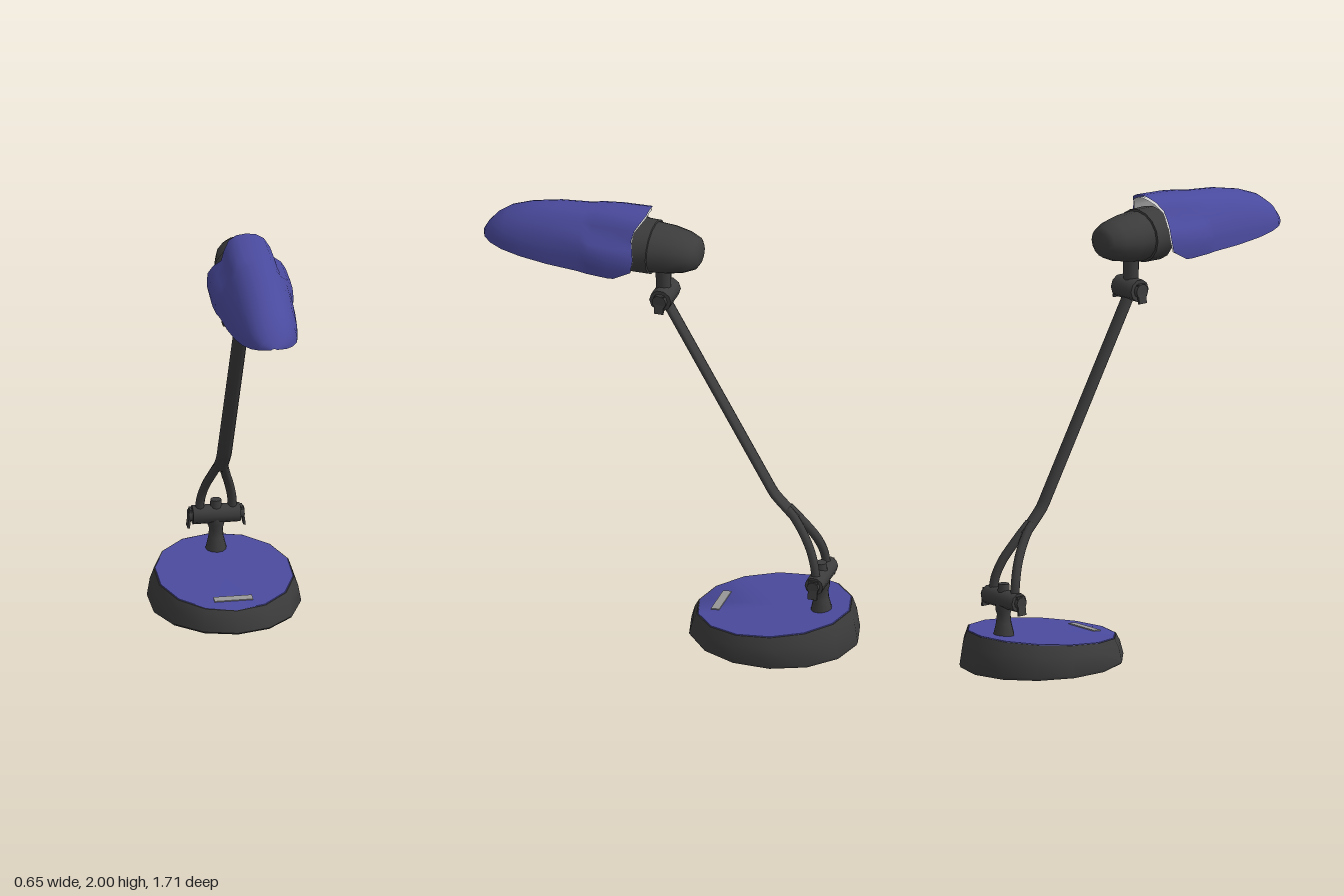
import * as THREE from 'three';
import { toCreasedNormals } from 'three/addons/utils/BufferGeometryUtils.js';

const mat = (color, side = THREE.FrontSide) =>
  new THREE.MeshStandardMaterial({ color, side });
const V = (x, y, z) => new THREE.Vector3(x, y, z);
const pts = (list) => list.map(([x, y]) => new THREE.Vector2(x, y));

export function createModel() {
  const group = new THREE.Group();
  const dark = mat(0x3c3c3c), blue = mat(0x4a4a9e), plate = mat(0x999999);
  const blueShell = mat(0x4a4a9e, THREE.DoubleSide);
  const pale = mat(0xcccccc, THREE.DoubleSide);

  const add = (name, geo, material, x = 0, y = 0, z = 0, parent = group) => {
    const m = new THREE.Mesh(geo, material);
    m.name = name;
    m.position.set(x, y, z);
    parent.add(m);
    return m;
  };

  // Base: oval lathe whose heights are fractions of a sloping top plane
  const slope = 0.065 / 0.69, baseZ = -0.475;
  const topY = (z) => 0.1 + (-0.13 - z) * slope;
  const ovalLathe = (profile) => {
    const g = new THREE.LatheGeometry(pts(profile), 14);
    const p = g.attributes.position;
    for (let i = 0; i < p.count; i++) {
      const z = p.getZ(i) * 1.14 + baseZ;
      p.setXYZ(i, p.getX(i), p.getY(i) * topY(z), z);
    }
    return toCreasedNormals(g, 0.7);
  };
  add('base', ovalLathe([[0, 0], [0.33, 0], [0.335, 0.08], [0.322, 0.65], [0.305, 1], [0, 1]]), dark);
  add('basePanel', ovalLathe([[0.302, 0.99], [0.299, 1.02], [0, 1.02]]), blue);
  const label = add('basePlate', new THREE.BoxGeometry(0.17, 0.006, 0.038), plate, 0, topY(-0.23) + 0.004, -0.23);
  label.rotation.x = Math.atan(slope);

  // Post rising from the base
  const post = new THREE.LatheGeometry(
    pts([[0.048, 0.13], [0.046, 0.16], [0.034, 0.21], [0.03, 0.25], [0.037, 0.27], [0.037, 0.31]]), 12);
  add('post', toCreasedNormals(post, 0.7), dark, 0, 0, -0.69);

  // Clamp: cross barrel, centre nub and a wing on each end
  const clamp = (name, y, z, half, radius) => {
    const g = new THREE.Group();
    g.name = name;
    g.position.set(0, y, z);
    group.add(g);
    const barrel = new THREE.CylinderGeometry(radius, radius, half * 2, 10).rotateZ(Math.PI / 2);
    add('barrel', toCreasedNormals(barrel, 0.7), dark, 0, 0, 0, g);
    add('nub', new THREE.CylinderGeometry(0.024, 0.028, 0.05, 10), dark, 0, radius, 0, g);
    for (const s of [-1, 1]) {
      add('knob', new THREE.CylinderGeometry(radius * 0.65, radius * 0.65, 0.02, 10).rotateZ(Math.PI / 2),
        dark, s * (half + 0.008), 0, 0, g);
      const wing = add('wing', new THREE.BoxGeometry(0.01, 0.085, 0.042), dark, s * (half + 0.013), -0.012, 0, g);
      wing.rotation.z = s * 0.13;
    }
  };
  clamp('lowerClamp', 0.318, -0.69, 0.105, 0.042);
  clamp('upperClamp', 1.595, 0.028, 0.068, 0.05);

  // Fork: two curved legs joining below the arm
  for (const s of [-1, 1]) {
    const path = new THREE.CatmullRomCurve3([
      V(s * 0.074, 0.33, -0.69), V(s * 0.068, 0.4, -0.68), V(s * 0.052, 0.47, -0.655),
      V(s * 0.03, 0.54, -0.612), V(s * 0.014, 0.6, -0.565), V(s * 0.01, 0.63, -0.535)]);
    add('forkLeg', new THREE.TubeGeometry(path, 16, 0.02, 8), dark);
  }

  // Arm: flattened tube with a bend near the fork
  const armPath = new THREE.CurvePath();
  const bend = [V(0, 0.585, -0.575), V(0, 0.68, -0.482), V(0, 0.72, -0.456), V(0, 1.56, 0.02)];
  armPath.add(new THREE.LineCurve3(bend[0], bend[1]));
  armPath.add(new THREE.QuadraticBezierCurve3(bend[1], V(0, 0.697, -0.468), bend[2]));
  armPath.add(new THREE.LineCurve3(bend[2], bend[3]));
  add('arm', new THREE.TubeGeometry(armPath, 40, 0.018, 10).scale(1.85, 1, 1), dark);

  // Neck and lamp housing
  add('neck', new THREE.CylinderGeometry(0.036, 0.033, 0.12, 12), dark, 0, 1.675, 0.035);
  const housing = new THREE.LatheGeometry(pts([[0, -0.138], [0.045, -0.137], [0.068, -0.122],
    [0.09, -0.07], [0.104, 0], [0.109, 0.072], [0.117, 0.074], [0.118, 0.16], [0.1, 0.165], [0, 0.165]]), 16);
  housing.rotateX(Math.PI / 2).scale(1.17, 1, 1);
  add('housing', toCreasedNormals(housing, 0.7), dark, 0, 1.822, 0);

  // Shade: lofted from a three-lobed rear section into a plain arch
  const lobed = [[0, 1], [0.24, 0.98], [0.44, 0.92], [0.58, 0.79], [0.66, 0.63],
    [0.85, 0.52], [0.98, 0.38], [1, 0.17], [0.96, 0]];
  const rearZ = [0, 0, 0.012, 0.035, 0.045, 0.03, 0.02, 0.03, 0.11];
  // z, half width, rim height, top height, lobe amount
  const stations = [
    [0.1, 0.176, 1.727, 2.0, 1], [0.24, 0.176, 1.725, 1.995, 1], [0.33, 0.174, 1.73, 1.985, 0.8],
    [0.38, 0.161, 1.732, 1.977, 0.15], [0.52, 0.152, 1.737, 1.965, 0], [0.65, 0.138, 1.746, 1.938, 0],
    [0.74, 0.12, 1.756, 1.905, 0], [0.8, 0.093, 1.764, 1.862, 0], [0.838, 0.058, 1.771, 1.815, 0],
    [0.856, 0.012, 1.777, 1.782, 0]];
  const n = lobed.length - 1, cols = 2 * n + 1;
  const shell = (inset, flip) => {
    const pos = [], index = [];
    stations.forEach(([z, w, rim, top, k], i) => {
      for (let j = -n; j <= n; j++) {
        const a = Math.abs(j), t = (a / n) * Math.PI / 2;
        const u = THREE.MathUtils.lerp(Math.sin(t), lobed[a][0], k);
        const v = THREE.MathUtils.lerp(Math.pow(Math.cos(t) + 1e-9, 0.9), lobed[a][1], k);
        const shrink = 1 - inset * Math.min(1, v * 4);
        pos.push(Math.sign(j) * u * w * shrink, rim + v * (top - rim) * shrink, z + (i ? 0 : rearZ[a]));
      }
    });
    for (let i = 0; i < stations.length - 1; i++) {
      for (let j = 0; j < cols - 1; j++) {
        const a = i * cols + j, b = a + 1, c = a + cols, d = c + 1;
        index.push(...(flip ? [a, b, c, b, d, c] : [a, c, b, b, c, d]));
      }
    }
    const g = new THREE.BufferGeometry();
    g.setAttribute('position', new THREE.Float32BufferAttribute(pos, 3));
    g.setIndex(index);
    g.computeVertexNormals();
    return g;
  };
  add('shade', shell(0, false), blueShell);
  add('shadeLining', shell(0.05, true), pale);

  // Bulb: twin tubes with rounded tips in a short socket
  add('socket', new THREE.CylinderGeometry(0.06, 0.07, 0.05, 14).rotateX(Math.PI / 2), dark, 0, 1.815, 0.18);
  for (const s of [-1, 1]) {
    add('bulbTube', new THREE.CapsuleGeometry(0.026, 0.34, 4, 10).rotateX(Math.PI / 2), pale, s * 0.028, 1.81, 0.36);
  }
  return group;
}
